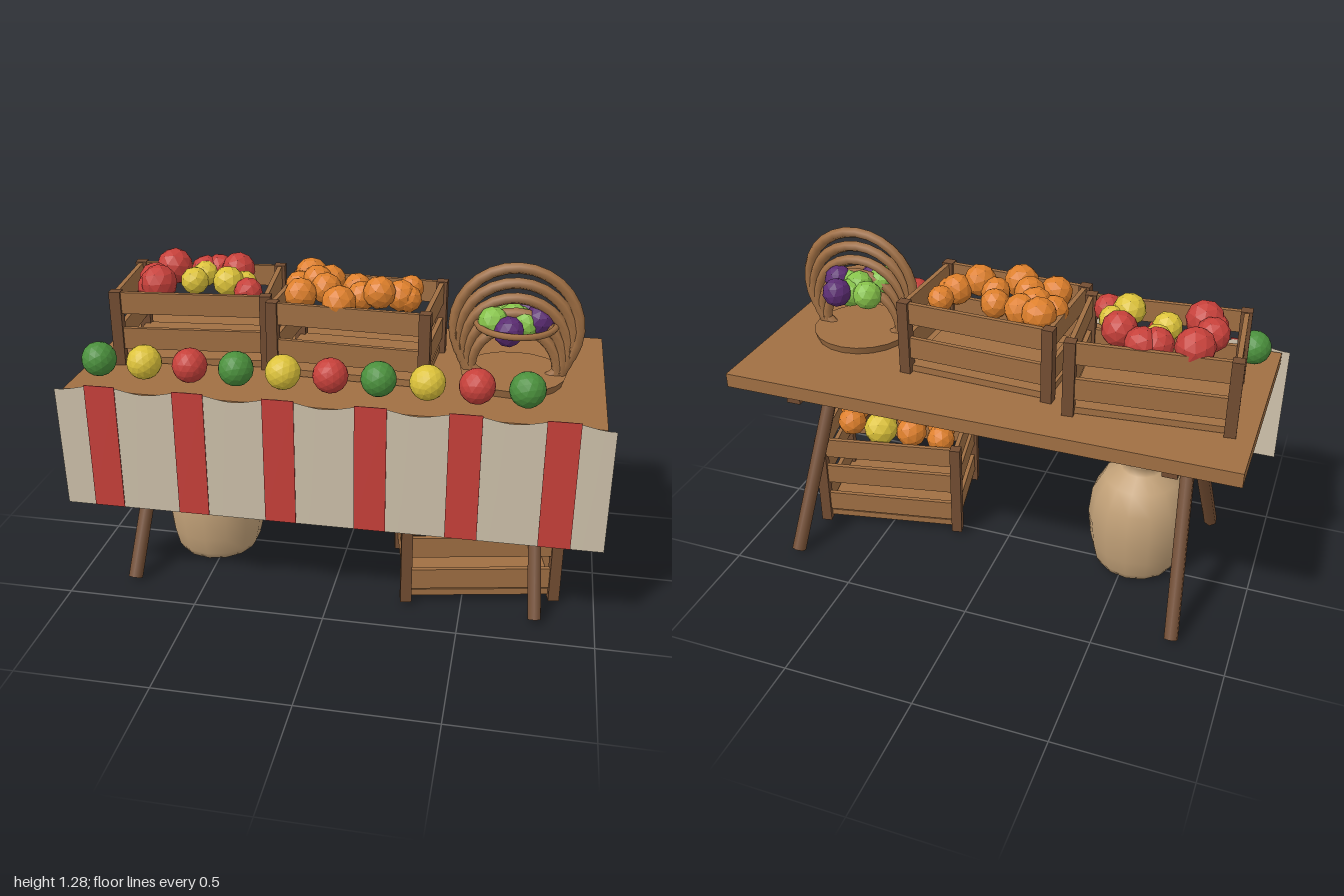
import * as THREE from 'three';

const flat = (name, color, extra = {}) => {
  const m = new THREE.MeshStandardMaterial({ color, ...extra });
  m.name = name;
  return m;
};

export function createModel() {
  const root = new THREE.Group();
  root.name = 'marketStall';
  const M = {
    wood: flat('wood', 0xa06f43),
    dark: flat('darkWood', 0x734d32),
    cream: flat('creamCloth', 0xcfc2ab, { side: THREE.DoubleSide }),
    sack: flat('tanClay', 0xc2a178, { side: THREE.DoubleSide }),
    red: flat('red', 0xc6403a, { flatShading: true }),
    orange: flat('orange', 0xdd7f2b, { flatShading: true }),
    yellow: flat('yellow', 0xdcc23a, { flatShading: true }),
    green: flat('green', 0x4a8f3c, { flatShading: true }),
    lime: flat('lime', 0x86c24a, { flatShading: true }),
    purple: flat('purple', 0x5b2c72, { flatShading: true }),
  };

  const add = (parent, name, geo, mat, x = 0, y = 0, z = 0) => {
    const m = new THREE.Mesh(geo, mat);
    m.name = name;
    m.position.set(x, y, z);
    parent.add(m);
    return m;
  };
  const box = (parent, name, mat, w, h, d, x, y, z) =>
    add(parent, name, new THREE.BoxGeometry(w, h, d), mat, x, y, z);
  const group = (name, x = 0, y = 0, z = 0, turn = 0) => {
    const g = new THREE.Group();
    g.name = name;
    g.position.set(x, y, z);
    g.rotation.y = turn;
    root.add(g);
    return g;
  };
  const bigFruit = new THREE.IcosahedronGeometry(1, 2);
  const smallFruit = new THREE.IcosahedronGeometry(1, 1);
  const fruit = (parent, color, r, x, y, z, geo = smallFruit) => {
    const f = add(parent, color + 'Fruit', geo, M[color], x, y, z);
    f.scale.setScalar(r);
    f.rotation.set(x * 9, z * 11, x * 5);
    if (geo === bigFruit) f.rotation.set(0, x * 3, 0);
  };

  // Table top with two A-frame trestles
  box(root, 'tableTop', M.wood, 1.94, 0.055, 0.873, 0, 0.8125, -0.007);
  const up = new THREE.Vector3(0, 1, 0);
  for (const s of [-1, 1]) {
    box(root, 'trestleRail', M.dark, 0.055, 0.05, 0.78, s * 0.72, 0.76, -0.007);
    for (const f of [-1, 1]) {
      const a = new THREE.Vector3(s * 0.78, 0.018, -0.007 + f * 0.385);
      const b = new THREE.Vector3(s * 0.72, 0.775, -0.007);
      const dir = b.clone().sub(a);
      const leg = add(root, 'trestleLeg', new THREE.CylinderGeometry(0.028, 0.028, dir.length(), 6), M.dark);
      leg.position.copy(a).add(b).multiplyScalar(0.5);
      leg.quaternion.setFromUnitVectors(up, dir.normalize());
    }
  }

  // Hanging cloth with a rippled top edge, leaning slightly
  const cloth = new THREE.PlaneGeometry(2, 1, 72, 1);
  const p = cloth.attributes.position;
  for (let i = 0; i < p.count; i++) {
    const top = p.getY(i) > 0;
    const ripple = 0.853 + 0.012 * Math.cos((2 * Math.PI * (p.getX(i) + 0.825)) / 0.33);
    p.setY(i, top ? ripple : 0.363);
    p.setZ(i, top ? 0.441 : 0.426);
  }
  cloth.computeVertexNormals();
  add(root, 'cloth', cloth, M.cream);
  for (let i = 0; i < 6; i++)
    box(root, 'clothStripe', M.red, 0.115, 0.49, 0.003, -0.825 + i * 0.33, 0.62, 0.4445);

  // Row of fruit along the front edge
  const rowColors = ['green', 'yellow', 'red'];
  for (let i = 0; i < 10; i++)
    fruit(root, rowColors[i % 3], 0.065, -0.875 + i * 0.1743, 0.912, 0.303, bigFruit);

  // Slatted crates
  const W = 0.565, D = 0.385;
  const crate = (name, x, y, z, turn, height, slats, floorY) => {
    const g = group(name, x, y, z, turn);
    for (const sx of [-1, 1])
      for (const sz of [-1, 1])
        box(g, 'cratePost', M.dark, 0.042, height, 0.042, sx * W / 2, height / 2, sz * D / 2);
    for (const sy of slats)
      for (const s of [-1, 1]) {
        box(g, 'longSlat', M.wood, W, 0.083, 0.018, 0, sy, s * D / 2);
        box(g, 'shortSlat', M.wood, 0.018, 0.083, D, s * W / 2, sy, 0);
      }
    box(g, 'crateFloor', M.wood, W, 0.026, D, 0, floorY, 0);
    return g;
  };
  crate('mixedCrate', -0.585, 0.84, -0.058, 0.094, 0.29, [0.245, 0.105], 0.016);
  crate('orangeCrate', 0.047, 0.84, -0.01, -0.05, 0.29, [0.245, 0.105], 0.016);
  const low = crate('lowerCrate', 0.53, 0.018, 0.09, 0.197, 0.405, [0.36, 0.233, 0.095], 0.03);

  // Crate fruit: x, z, height, radius
  const piles = {
    red: [[-0.73, -0.18, 1.13, 0.072], [-0.6, -0.18, 1.12, 0.06], [-0.55, -0.2, 1.12, 0.062],
      [-0.46, -0.155, 1.14, 0.066], [-0.765, -0.048, 1.12, 0.062], [-0.72, 0.037, 1.13, 0.07],
      [-0.755, 0.025, 1.11, 0.055], [-0.37, 0.037, 1.115, 0.055]],
    yellow: [[-0.604, -0.043, 1.12, 0.054], [-0.59, -0.14, 1.12, 0.05], [-0.455, 0.005, 1.14, 0.06],
      [-0.405, -0.048, 1.12, 0.048]],
    orange: [[-0.165, -0.145, 1.14, 0.065], [-0.085, -0.112, 1.13, 0.062], [-0.125, -0.064, 1.14, 0.062],
      [-0.16, 0.07, 1.13, 0.062], [-0.075, 0.016, 1.14, 0.06], [-0.005, 0.128, 1.125, 0.066],
      [0.027, -0.075, 1.12, 0.056], [0.06, 0.02, 1.12, 0.056], [0.13, 0.043, 1.145, 0.062],
      [0.203, -0.01, 1.12, 0.06], [0.228, -0.105, 1.12, 0.05], [0.23, -0.01, 1.11, 0.052],
      [-0.19, -0.06, 1.12, 0.058]],
  };
  for (const color in piles)
    for (const [x, z, y, r] of piles[color]) fruit(root, color, r, x, y, z);
  for (let i = 0; i < 12; i++) {
    const c = i % 4, r = Math.floor(i / 4);
    fruit(low, (i * 2 + r) % 3 === 1 ? 'yellow' : 'orange', 0.058 + 0.006 * (i % 3),
      -0.19 + c * 0.125 + 0.015 * (r - 1), 0.395 + 0.014 * ((i * 5) % 4), -0.11 + r * 0.105 + 0.012 * (c % 2));
  }

  // Hoop basket: upright rings through the table, base disc and half hoop
  const basket = group('hoopBasket', 0.633, 0, 0.04);
  add(basket, 'basketBase', new THREE.CylinderGeometry(0.195, 0.185, 0.03, 20), M.wood, 0, 0.855, 0);
  for (let i = 0; i < 5; i++)
    add(basket, 'basketHoop', new THREE.TorusGeometry(0.16 + i * 0.0165, 0.021, 6, 28), M.wood, 0, 0.88 + i * 0.04, 0);
  const half = add(basket, 'basketHandle', new THREE.TorusGeometry(0.143, 0.012, 6, 16, Math.PI), M.wood, 0, 1.056, 0);
  half.rotation.x = Math.PI / 2;
  const grapes = {
    purple: [[0.67, -0.085, 1.065], [0.715, 0.02, 1.07], [0.61, 0.112, 1.05]],
    lime: [[0.555, -0.058, 1.06], [0.55, 0.072, 1.07], [0.62, 0.005, 1.065], [0.665, 0.03, 1.055], [0.64, -0.03, 1.045]],
  };
  for (const color in grapes)
    for (const [x, z, y] of grapes[color]) fruit(root, color, 0.056, x, y, z);

  // Round jar under the table with an upright ring at its neck
  const profile = [[0, 0.02], [0.155, 0.02], [0.172, 0.05], [0.188, 0.12], [0.2, 0.23], [0.188, 0.34],
    [0.145, 0.42], [0.08, 0.46], [0.065, 0.485], [0.1, 0.53], [0, 0.53]].map(([r, y]) => new THREE.Vector2(r, y));
  const jar = group('jar', -0.535, 0, 0.04);
  add(jar, 'jarBody', new THREE.LatheGeometry(profile, 14), M.sack);
  add(jar, 'neckRing', new THREE.TorusGeometry(0.066, 0.016, 6, 16), M.wood, 0, 0.472, 0);

  return root;
}
